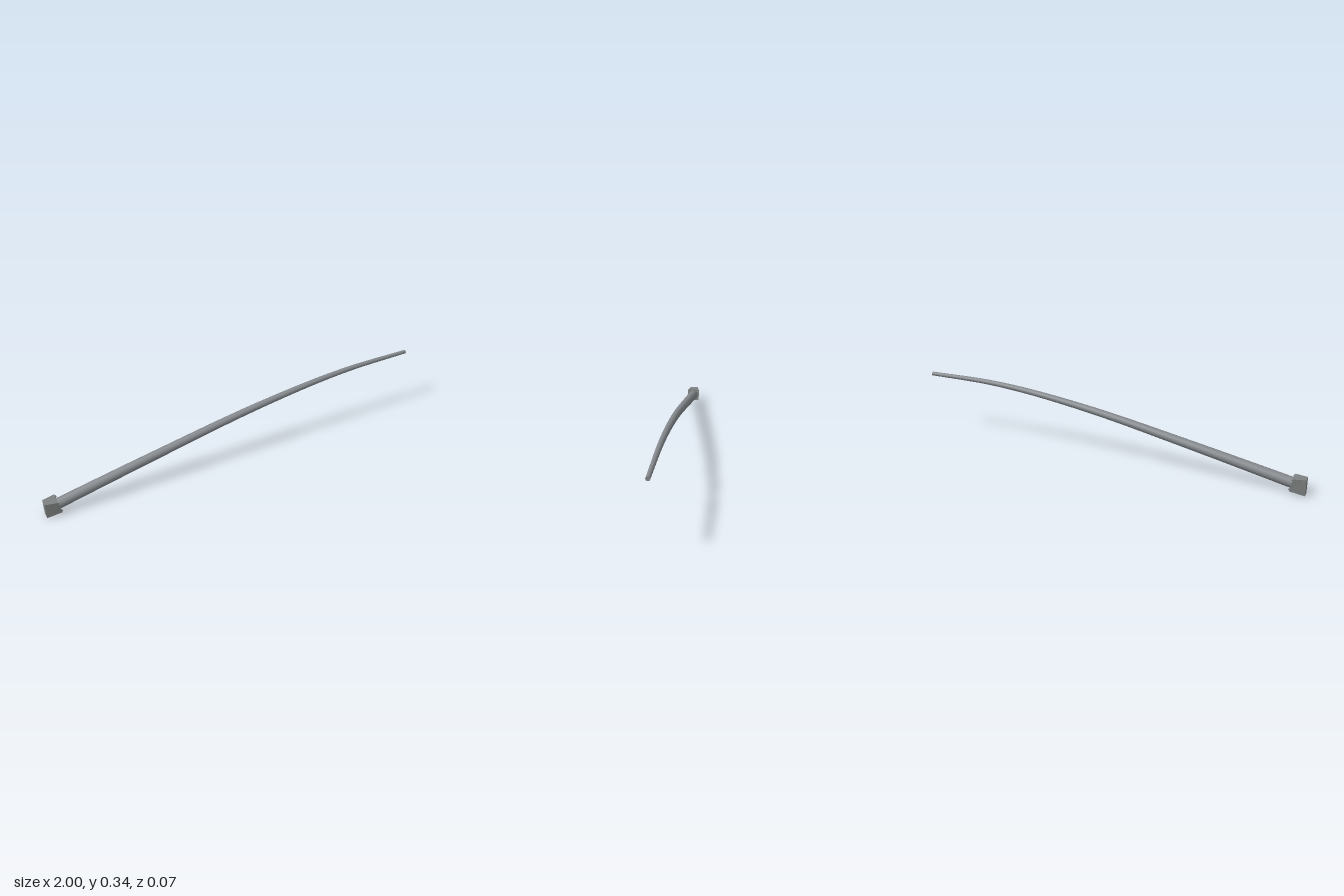
import * as THREE from 'three';

export function createModel() {
  const steel = new THREE.MeshStandardMaterial({ color: 0x85898d });
  steel.name = 'galvanised steel';
  const castMetal = new THREE.MeshStandardMaterial({ color: 0x7f8282 });
  castMetal.name = 'cast metal';
  const model = new THREE.Group();
  model.name = 'bracketArm';

  const add = (name, geometry, material, parent = model) => {
    const mesh = new THREE.Mesh(geometry, material);
    mesh.name = name;
    parent.add(mesh);
    return mesh;
  };

  // Curved arm: a tube whose rings shrink towards the tip
  const rootRadius = 0.027, tipRadius = 0.01, rings = 40, sides = 10;
  const path = new THREE.CatmullRomCurve3([
    [-0.955, 0.045], [-0.7, 0.1], [-0.4, 0.163], [0, 0.243], [0.3, 0.29],
    [0.5, 0.313], [0.68, 0.325], [1, 0.327],
  ].map(([x, y]) => new THREE.Vector3(x, y, 0)));
  const tube = new THREE.TubeGeometry(path, rings, 1, sides);
  const position = tube.attributes.position;
  const vertex = new THREE.Vector3();
  for (let i = 0; i <= rings; i++) {
    const centre = path.getPointAt(i / rings);
    const radius = THREE.MathUtils.lerp(rootRadius, tipRadius, i / rings);
    for (let j = 0; j <= sides; j++) {
      const k = i * (sides + 1) + j;
      vertex.fromBufferAttribute(position, k).sub(centre).multiplyScalar(radius).add(centre);
      position.setXYZ(k, vertex.x, vertex.y, vertex.z);
    }
  }
  add('arm', tube, steel);

  // Flat end of the arm
  const cap = add('tipCap', new THREE.CircleGeometry(tipRadius, sides), steel);
  cap.position.copy(path.getPointAt(1));
  cap.rotation.y = Math.PI / 2;

  // Wedge-shaped mount: narrow at the wall, wide at the tilted front face
  const block = new THREE.BoxGeometry(1, 1, 1);
  const p = block.attributes.position;
  for (let i = 0; i < p.count; i++) {
    const front = p.getX(i) > 0, top = p.getY(i) > 0, side = Math.sign(p.getZ(i));
    const x = front ? (top ? -0.94 : -0.927) : -1;
    const y = top ? 0.081 : front ? 0.018 : 0;
    p.setXYZ(i, x, y, side * (front ? 0.033 : 0.02));
  }
  block.computeVertexNormals();
  add('mountBlock', block, castMetal);

  // Four hex bolts on the tilted front face
  const tilt = Math.atan2(0.013, 0.063);
  for (const y of [0.025, 0.074]) {
    for (const z of [-0.025, 0.025]) {
      const bolt = add('bolt', new THREE.CylinderGeometry(0.005, 0.005, 0.006, 6), steel);
      bolt.position.set(-0.927 - (y - 0.018) * (0.013 / 0.063) + 0.002, y, z);
      bolt.rotation.z = -Math.PI / 2 + tilt;
    }
  }
  return model;
}
